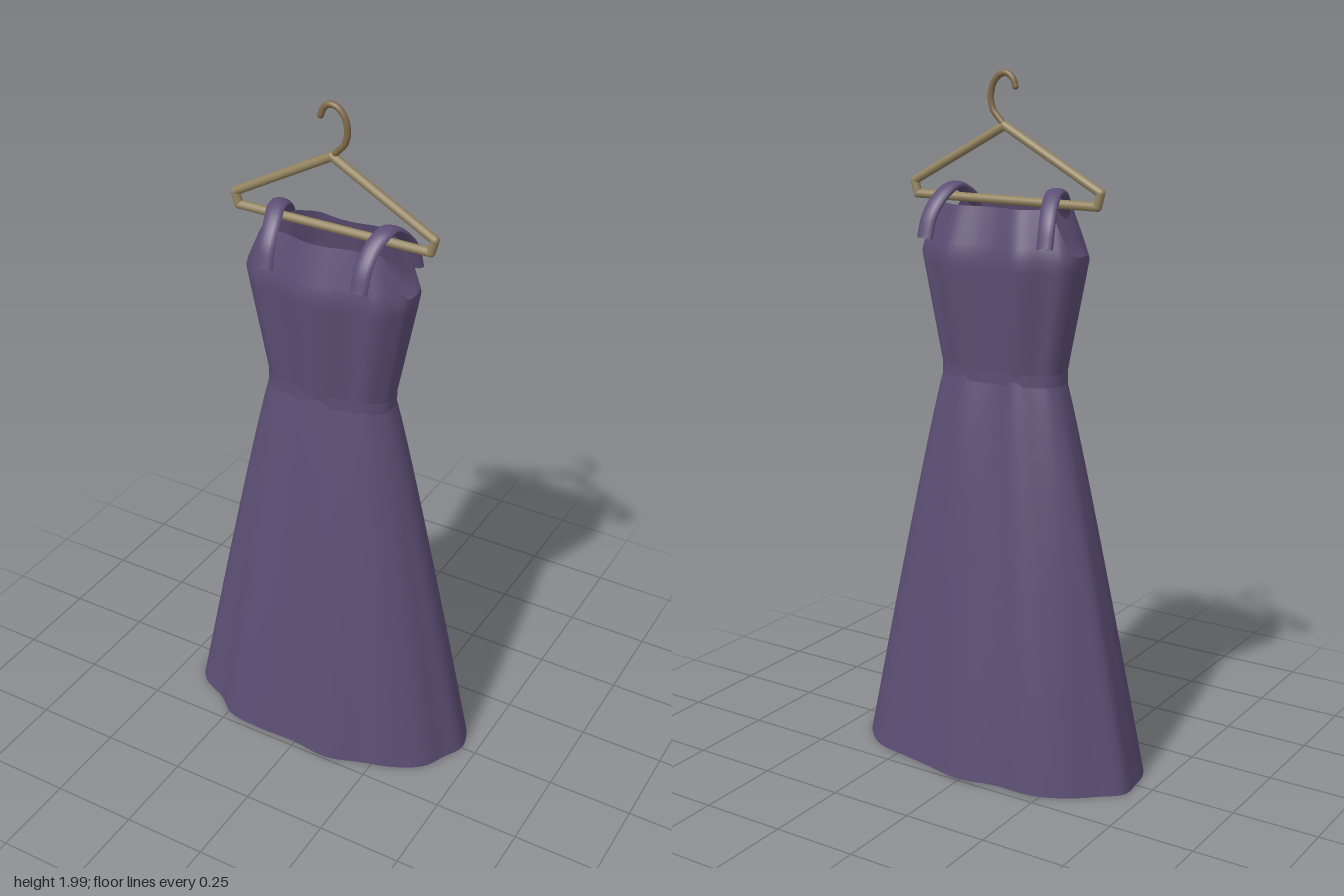
import * as THREE from 'three';

const TAU = Math.PI * 2;
const SEG = 120;

// piecewise-linear lookup in a list of [y, value...] stations
function lookup(stations, y) {
  let i = 0;
  while (i < stations.length - 2 && y > stations[i + 1][0]) i++;
  const a = stations[i], b = stations[i + 1];
  const t = THREE.MathUtils.clamp((y - a[0]) / (b[0] - a[0]), 0, 1);
  return a.map((v, k) => v + (b[k] - v) * t);
}

// smooth surface over a grid of points: closed around, open top and bottom
function loft(rows, pointAt) {
  const pos = [], idx = [];
  for (let j = 0; j <= rows; j++)
    for (let i = 0; i < SEG; i++) pos.push(...pointAt((i / SEG) * TAU, j / rows));
  for (let j = 0; j < rows; j++)
    for (let i = 0; i < SEG; i++) {
      const n = (i + 1) % SEG;
      const a = j * SEG + i, b = j * SEG + n, c = a + SEG, d = b + SEG;
      idx.push(a, c, b, b, c, d);
    }
  const g = new THREE.BufferGeometry();
  g.setAttribute('position', new THREE.Float32BufferAttribute(pos, 3));
  g.setIndex(idx);
  g.computeVertexNormals();
  return g;
}

// boxy oval with gathered folds
function bodiceOutline(theta, w, d, fold) {
  const c = Math.cos(theta), s = Math.sin(theta);
  const pw = (v) => Math.sign(v) * Math.abs(v) ** 0.8;
  return [w * pw(c), d * pw(s) * (1 + fold * Math.cos(8 * theta) * s)];
}

// hem ripple, one factor every 15 degrees
const RIPPLE = [1.035, 1, 1.03, 1.02, 1, 1.05, 0.98, 1.017, 1.062, 0.985, 1.035, 1.02,
  1.01, 1.05, 1.01, 1.03, 1.05, 0.98, 1.05, 0.985, 0.985, 1.05, 1.04, 1.035];
const rippleCurve = new THREE.CatmullRomCurve3(
  RIPPLE.map((r, i) => new THREE.Vector3(
    0.44 * r * Math.cos(i * TAU / 24), 0, 0.245 * r * Math.sin(i * TAU / 24))), true);

const WAIST = 1.165;

function skirtPoint(theta, v) {
  const hem = rippleCurve.getPoint(theta / TAU);
  const [wx, wz] = bodiceOutline(theta, 0.19, 0.086, 0.1);
  const f = (1 - v) ** 0.93;
  const hemY = 0.008 + 0.008 * Math.sin(theta) ** 2 * Math.cos(2 * theta + Math.PI);
  return [wx + (hem.x - wx) * f, hemY + (WAIST - hemY) * v, wz + (hem.z - wz) * f];
}

// y, half width, half depth
const BODICE = [[WAIST, 0.19, 0.086], [1.5, 0.255, 0.119], [1.64, 0.215, 0.083]];

function bodicePoint(theta, v) {
  const top = 1.637 - 0.125 * THREE.MathUtils.smoothstep(Math.abs(Math.cos(theta)), 0.78, 1);
  const y = WAIST + (top - WAIST) * v;
  const [, w, d] = lookup(BODICE, y);
  const [x, z] = bodiceOutline(theta, w, d, 0.1);
  return [x, y, z];
}

function beltPoint(theta, v) {
  const [x, z] = bodiceOutline(theta, 0.194, 0.09, 0.05);
  return [x, 1.148 + 0.035 * v, z];
}

// flat rounded strap swept over the hanger bar, width along x
function strapGeometry(side) {
  const path = new THREE.CatmullRomCurve3([
    [0.143, 1.54, 0.112], [0.146, 1.6, 0.093], [0.152, 1.65, 0.055], [0.163, 1.677, 0.015],
    [0.167, 1.677, -0.015], [0.178, 1.65, -0.055], [0.19, 1.6, -0.09], [0.194, 1.54, -0.108],
  ].map(([x, y, z]) => new THREE.Vector3(x * side, y, z)));
  const g = new THREE.TubeGeometry(path, 28, 1, 12);
  const p = g.attributes.position, out = new THREE.Vector3();
  for (let j = 0; j <= 28; j++) {
    const c = path.getPointAt(j / 28), t = path.getTangentAt(j / 28);
    const across = new THREE.Vector3(1, 0, 0).addScaledVector(t, -t.x).normalize();
    const up = new THREE.Vector3().crossVectors(t, across);
    for (let i = 0; i <= 12; i++) {
      const a = -(i / 12) * TAU;
      out.copy(c).addScaledVector(across, 0.026 * Math.cos(a)).addScaledVector(up, 0.012 * Math.sin(a));
      p.setXYZ(j * 13 + i, out.x, out.y, out.z);
    }
  }
  g.computeVertexNormals();
  return g;
}

export function createModel() {
  const fabric = new THREE.MeshStandardMaterial({ color: 0x5c4e74, side: THREE.DoubleSide });
  fabric.name = 'purple fabric';
  const wood = new THREE.MeshStandardMaterial({ color: 0x93835f });
  wood.name = 'pale wood';
  const metal = new THREE.MeshStandardMaterial({ color: 0x7f6a48 });
  metal.name = 'bronze metal';

  const model = new THREE.Group();
  model.name = 'dressOnHanger';
  const add = (parent, geometry, material, name) => {
    const mesh = new THREE.Mesh(geometry, material);
    mesh.name = name;
    parent.add(mesh);
    return mesh;
  };

  // dress
  const dress = new THREE.Group();
  dress.name = 'dress';
  model.add(dress);
  add(dress, loft(16, skirtPoint), fabric, 'skirt');
  add(dress, loft(14, bodicePoint), fabric, 'bodice');
  add(dress, loft(1, beltPoint), fabric, 'waistband');
  add(dress, strapGeometry(1), fabric, 'leftStrap');
  add(dress, strapGeometry(-1), fabric, 'rightStrap');

  // hanger frame: straight rods with rounded joints
  const hanger = new THREE.Group();
  hanger.name = 'hanger';
  model.add(hanger);
  const rod = (a, b, r, name) => {
    const from = new THREE.Vector3(...a), to = new THREE.Vector3(...b);
    const dir = to.clone().sub(from);
    const m = add(hanger, new THREE.CylinderGeometry(r, r, dir.length(), 14), wood, name);
    m.position.copy(from).add(to).multiplyScalar(0.5);
    m.quaternion.setFromUnitVectors(new THREE.Vector3(0, 1, 0), dir.normalize());
  };
  const joint = (p, name) =>
    add(hanger, new THREE.SphereGeometry(0.0125, 14, 10), wood, name).position.set(...p);
  const apex = [0, 1.85, 0];
  joint(apex, 'apexJoint');
  for (const s of [1, -1]) {
    const side = s > 0 ? 'left' : 'right';
    const tip = [0.302 * s, 1.685, 0], low = [0.292 * s, 1.648, 0];
    rod(apex, tip, 0.0125, side + 'Arm');
    rod(tip, low, 0.0125, side + 'End');
    joint(tip, side + 'TipJoint');
    joint(low, side + 'LowJoint');
  }
  rod([-0.292, 1.648, 0], [0.292, 1.648, 0], 0.0125, 'crossBar');

  // hook
  const hookPath = new THREE.CatmullRomCurve3([
    [0, 1.85], [0.018, 1.868], [0.038, 1.892], [0.045, 1.925], [0.037, 1.962],
    [0.015, 1.986], [-0.008, 1.989], [-0.026, 1.975], [-0.034, 1.955],
  ].map(([x, y]) => new THREE.Vector3(x, y, 0)));
  add(hanger, new THREE.TubeGeometry(hookPath, 40, 0.009, 10), metal, 'hook');
  const cap = add(hanger, new THREE.SphereGeometry(0.009, 10, 8), metal, 'hookTip');
  cap.position.set(-0.034, 1.955, 0);

  return model;
}
